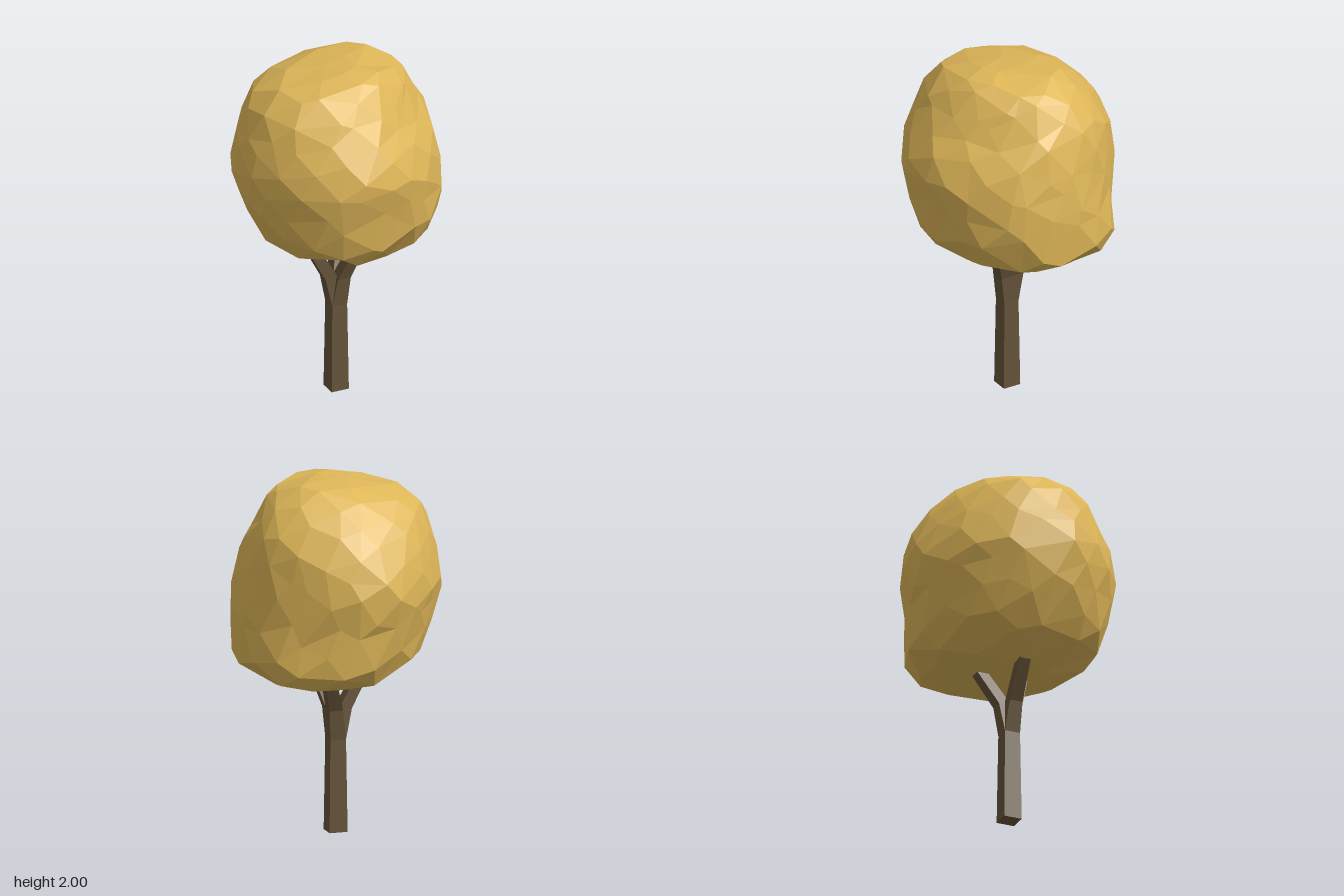
import * as THREE from 'three';
import { ConvexGeometry } from 'three/addons/geometries/ConvexGeometry.js';

const bark = new THREE.MeshStandardMaterial({ color: 0x66543a, flatShading: true });
bark.name = 'bark brown';
const gold = new THREE.MeshStandardMaterial({ color: 0xdeb658, flatShading: true });
gold.name = 'leaf gold';

// Square limb through sections [x, y, z, halfWidth], listed from bottom to top
function limb(name, sections) {
  const n = sections.length - 1;
  const geo = new THREE.BoxGeometry(1, 1, 1, 1, n, 1);
  const p = geo.attributes.position;
  for (let i = 0; i < p.count; i++) {
    const [x, y, z, h] = sections[Math.round((p.getY(i) + 0.5) * n)];
    p.setXYZ(i, x + Math.sign(p.getX(i)) * h, y, z + Math.sign(p.getZ(i)) * h);
  }
  geo.computeVertexNormals();
  const mesh = new THREE.Mesh(geo, bark);
  mesh.name = name;
  return mesh;
}

// Crown extents by height: y, min x, max x, min z, max z
const CROWN = [
  [0.89, 0.05, 0.05, -0.05, -0.05],
  [0.90, -0.16, 0.37, -0.40, 0.26],
  [0.94, -0.35, 0.50, -0.51, 0.40],
  [1.00, -0.42, 0.56, -0.535, 0.49],
  [1.08, -0.47, 0.595, -0.54, 0.53],
  [1.20, -0.53, 0.585, -0.55, 0.55],
  [1.40, -0.595, 0.57, -0.615, 0.605],
  [1.50, -0.60, 0.555, -0.59, 0.61],
  [1.63, -0.56, 0.55, -0.545, 0.55],
  [1.75, -0.52, 0.49, -0.47, 0.48],
  [1.85, -0.47, 0.43, -0.38, 0.42],
  [1.93, -0.34, 0.38, -0.30, 0.35],
  [1.98, -0.12, 0.28, -0.19, 0.28],
  [2.00, 0.05, 0.05, 0.16, 0.16],
];
// Broad swellings and hollows of the crown: direction, amount, tightness
const BULGES = [
  [-0.6, -0.5, 0.65, 0.07, 8],
  [-0.62, 0.5, 0.62, 0.05, 8],
  [0.6, 0.5, -0.6, 0.04, 8],
  [0.6, 0.5, 0.6, -0.10, 8],
  [0.65, -0.1, 0.65, 0.03, 8],
  [-0.7, 0, 0.7, -0.05, 10],
  [-0.75, 0, -0.6, -0.08, 8],
  [0.65, 0, -0.65, -0.065, 10],
  [0.6, -0.7, -0.5, 0.03, 10],
  [0.25, -0.35, 0.9, -0.05, 14],
  [0.35, -0.35, -0.7, -0.04, 14],
].map(([x, y, z, amount, tight]) => ({ dir: new THREE.Vector3(x, y, z).normalize(), amount, tight }));
const MID = 1.45;
const elevation = ([y, x0, x1, z0, z1]) => Math.atan2(y - MID, (x1 - x0 + z1 - z0) / 4);

// Interpolated crown extents for an elevation angle
function crownAt(angle) {
  let i = 0;
  while (i < CROWN.length - 2 && elevation(CROWN[i + 1]) < angle) i++;
  const a = elevation(CROWN[i]), b = elevation(CROWN[i + 1]);
  const t = THREE.MathUtils.clamp((angle - a) / (b - a), 0, 1);
  return CROWN[i].map((v, k) => THREE.MathUtils.lerp(v, CROWN[i + 1][k], t));
}

function crown() {
  let seed = 7;
  const rand = () => (seed = (seed * 16807) % 2147483647) / 2147483647;
  // Irregular spread of points on a sphere, joined into facets
  const points = [];
  const count = 170;
  for (let i = 0; i < count; i++) {
    const y = 1 - (2 * (i + 0.5)) / count;
    const r = Math.sqrt(1 - y * y), a = i * 2.39996;
    const jitter = () => (rand() - 0.5) * 0.15;
    points.push(new THREE.Vector3(r * Math.cos(a) + jitter(), y + jitter(), r * Math.sin(a) + jitter()).normalize());
  }
  const geo = new ConvexGeometry(points);
  // Push each corner out to the crown outline, with slight lumps
  const p = geo.attributes.position;
  const d = new THREE.Vector3();
  for (let i = 0; i < p.count; i++) {
    d.fromBufferAttribute(p, i);
    const [y, x0, x1, z0, z1] = crownAt(Math.asin(THREE.MathUtils.clamp(d.y, -1, 1)));
    const phi = Math.atan2(d.z, d.x);
    let lump = 1 + 0.008 * Math.sin(31 * d.x + 23 * d.y + 17 * d.z);
    for (const { dir, amount, tight } of BULGES) lump += amount * Math.max(0, d.dot(dir)) ** tight;
    p.setXYZ(i,
      (x0 + x1) / 2 + ((x1 - x0) / 2) * Math.cos(phi) * lump,
      THREE.MathUtils.clamp(MID + (y - MID) * (lump + 0.01), 0.89, 2),
      (z0 + z1) / 2 + ((z1 - z0) / 2) * Math.sin(phi) * lump);
  }
  geo.computeVertexNormals();
  const mesh = new THREE.Mesh(geo, gold);
  mesh.name = 'crown';
  return mesh;
}

export function createModel() {
  const tree = new THREE.Group();
  tree.name = 'tree';
  tree.add(limb('trunk', [[0, 0, 0.025, 0.052], [0, 0.52, 0.025, 0.045]]));
  // Three branches fanning out of the trunk top
  const branches = [
    ['rightBranch', -0.045, 0.03, -0.2, 0.035],
    ['backBranch', 0.018, -0.007, 0.11, -0.15],
    ['frontBranch', 0.018, 0.055, 0.11, 0.15],
  ];
  for (const [name, mx, mz, ex, ez] of branches) {
    tree.add(limb(name, [[0, 0.52, 0.025, 0.045], [mx, 0.69, mz, 0.038], [ex, 0.97, ez, 0.032]]));
  }
  tree.add(crown());
  return tree;
}
